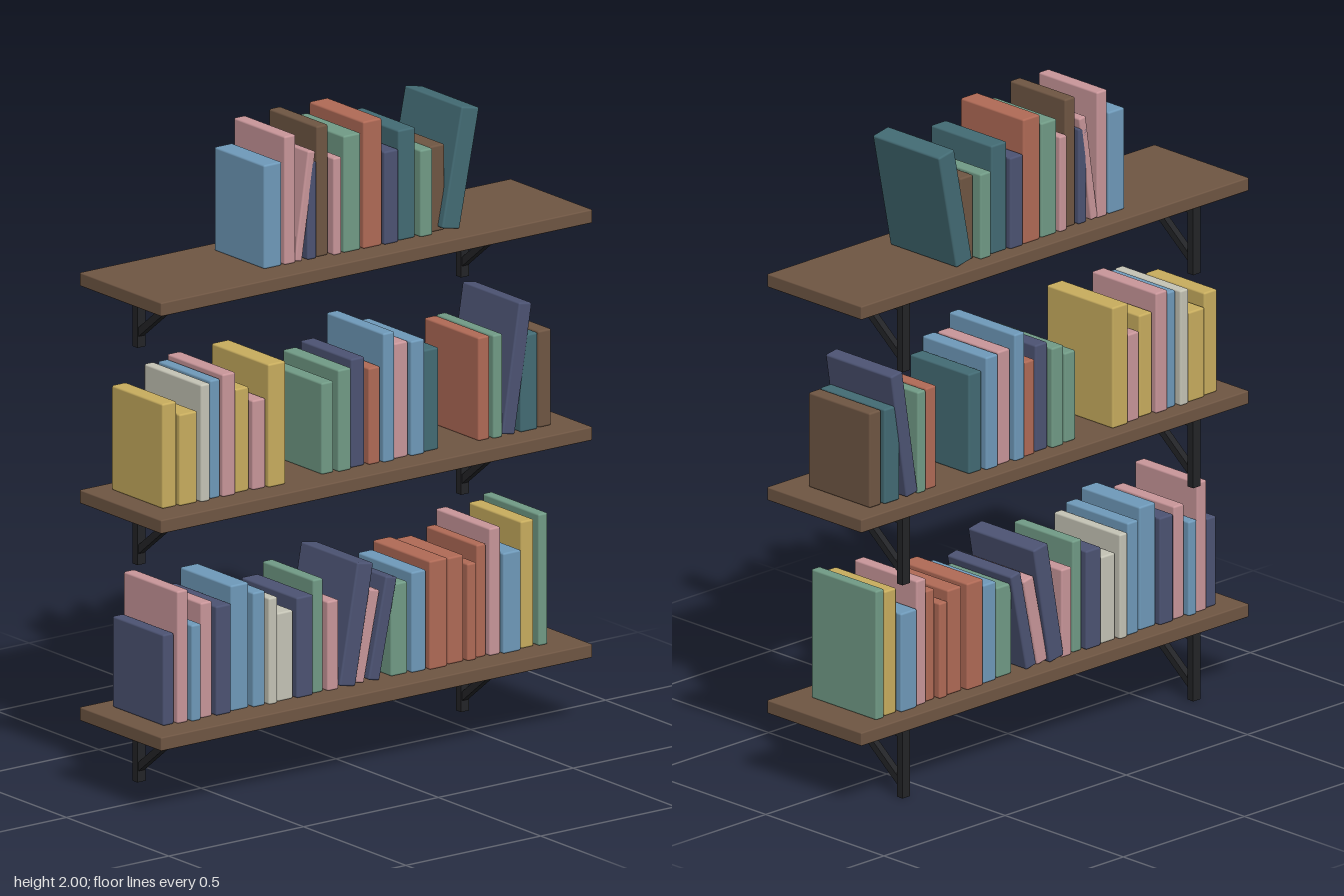
import * as THREE from 'three';
import { RoundedBoxGeometry } from 'three/addons/geometries/RoundedBoxGeometry.js';

function material(name, color) {
  const m = new THREE.MeshStandardMaterial({ color });
  m.name = name;
  return m;
}

const M = {
  wood: material('woodBrown', 0x6f5643),
  iron: material('blackIron', 0x232427),
  blue: material('skyBlue', 0x6f9aba),
  pink: material('dustyPink', 0xc9969a),
  navy: material('navy', 0x4c5373),
  green: material('sageGreen', 0x719b86),
  teal: material('teal', 0x436b74),
  rust: material('terracotta', 0xb06a56),
  gold: material('mustard', 0xc8ad5e),
  cream: material('cream', 0xc5c4b6),
};

// Each book: colour, left edge, thickness, height, lean to the right, depth
const BOTTOM = [
  ['navy', -0.723, 0.04, 0.281], ['pink', -0.676, 0.04, 0.408], ['blue', -0.628, 0.034, 0.297],
  ['pink', -0.586, 0.042, 0.355], ['navy', -0.535, 0.056, 0.337], ['blue', -0.472, 0.066, 0.387],
  ['blue', -0.395, 0.045, 0.353], ['cream', -0.342, 0.032, 0.329], ['cream', -0.302, 0.058, 0.273],
  ['navy', -0.236, 0.061, 0.31], ['green', -0.167, 0.037, 0.35], ['pink', -0.119, 0.042, 0.276],
  ['navy', -0.08, 0.06, 0.375, 0.18], ['pink', -0.024, 0.044, 0.283, 0.21], ['navy', 0.03, 0.042, 0.315, 0.21],
  ['green', 0.122, 0.061, 0.284], ['blue', 0.193, 0.053, 0.31], ['rust', 0.254, 0.066, 0.335],
  ['rust', 0.331, 0.058, 0.329], ['rust', 0.397, 0.034, 0.3], ['rust', 0.44, 0.034, 0.348],
  ['pink', 0.482, 0.04, 0.393], ['blue', 0.527, 0.066, 0.31], ['gold', 0.601, 0.048, 0.392],
  ['green', 0.66, 0.034, 0.406, 0, 0.275],
];
const MIDDLE = [
  ['gold', -0.726, 0.053, 0.323], ['gold', -0.668, 0.066, 0.282], ['cream', -0.594, 0.034, 0.362],
  ['blue', -0.551, 0.036, 0.365], ['pink', -0.511, 0.048, 0.378], ['gold', -0.458, 0.053, 0.32],
  ['pink', -0.397, 0.048, 0.276], ['gold', -0.344, 0.064, 0.38],
  ['green', -0.138, 0.045, 0.282], ['green', -0.082, 0.048, 0.314], ['navy', -0.026, 0.05, 0.335],
  ['rust', 0.034, 0.042, 0.298], ['blue', 0.082, 0.042, 0.398], ['pink', 0.132, 0.05, 0.356],
  ['blue', 0.188, 0.05, 0.354], ['teal', 0.246, 0.053, 0.314],
  ['rust', 0.44, 0.042, 0.319], ['green', 0.49, 0.034, 0.319], ['navy', 0.523, 0.048, 0.4, 0.16, 0.28],
  ['teal', 0.594, 0.064, 0.298], ['wood', 0.665, 0.048, 0.298, 0, 0.26],
];
const TOP = [
  ['blue', -0.347, 0.066, 0.32, 0, 0.245], ['pink', -0.273, 0.042, 0.396, 0, 0.25],
  ['pink', -0.235, 0.028, 0.335, 0.15, 0.25], ['navy', -0.188, 0.034, 0.3, 0, 0.25],
  ['wood', -0.148, 0.042, 0.403, 0, 0.235], ['pink', -0.098, 0.03, 0.3, 0, 0.268],
  ['green', -0.058, 0.063, 0.36, 0, 0.262], ['rust', 0.013, 0.069, 0.392, 0, 0.267],
  ['navy', 0.087, 0.053, 0.287, 0, 0.276], ['teal', 0.146, 0.063, 0.34, 0, 0.258],
  ['green', 0.22, 0.045, 0.268, 0, 0.28], ['wood', 0.273, 0.053, 0.265, 0, 0.235],
  ['teal', 0.3, 0.066, 0.37, 0.2, 0.282],
];

function add(parent, geometry, mat, name, x = 0, y = 0, z = 0) {
  const mesh = new THREE.Mesh(geometry, mat);
  mesh.name = name;
  mesh.position.set(x, y, z);
  parent.add(mesh);
  return mesh;
}

// A book stands on the board; a leaning one rests on its lower right edge
function addBook(parent, [color, left, w, h, lean = 0, depth], index) {
  const d = depth ?? 0.25 + ((index * 7) % 5) * 0.0075;
  const geometry = new RoundedBoxGeometry(w, h, d, 2, 0.006);
  geometry.translate(-w / 2, h / 2, 0);
  const book = add(parent, geometry, M[color], 'book', left + w * Math.cos(lean), 0, -0.016);
  book.rotation.z = -lean;
}

// Wall upright, arm under the board and diagonal brace; y = 0 is the board's underside
function makeBracket(x) {
  const bracket = new THREE.Group();
  bracket.name = 'bracket';
  bracket.position.x = x;
  add(bracket, new THREE.BoxGeometry(0.03, 0.215, 0.024), M.iron, 'upright', 0, -0.1075, -0.172);
  add(bracket, new THREE.BoxGeometry(0.03, 0.024, 0.31), M.iron, 'arm', 0, -0.012, -0.025);
  const dy = 0.158, dz = 0.2;
  const brace = add(bracket, new THREE.BoxGeometry(0.022, 0.022, Math.hypot(dy, dz)), M.iron,
    'brace', 0, -0.018 - dy / 2, 0.028 - dz / 2);
  brace.rotation.x = -Math.atan2(dy, dz);
  return bracket;
}

export function createModel() {
  const model = new THREE.Group();
  model.name = 'wallShelves';
  [BOTTOM, MIDDLE, TOP].forEach((books, level) => {
    const shelf = new THREE.Group();
    shelf.name = ['bottomShelf', 'middleShelf', 'topShelf'][level];
    shelf.position.y = 0.215 + level * 0.67;
    add(shelf, new RoundedBoxGeometry(1.6, 0.042, 0.4, 2, 0.004), M.wood, 'board', 0, 0.021, 0);
    for (const x of [-0.6, 0.6]) shelf.add(makeBracket(x));

    const row = new THREE.Group();
    row.name = 'bookRow';
    row.position.y = 0.042;
    books.forEach((book, i) => addBook(row, book, i));
    shelf.add(row);
    model.add(shelf);
  });
  return model;
}
